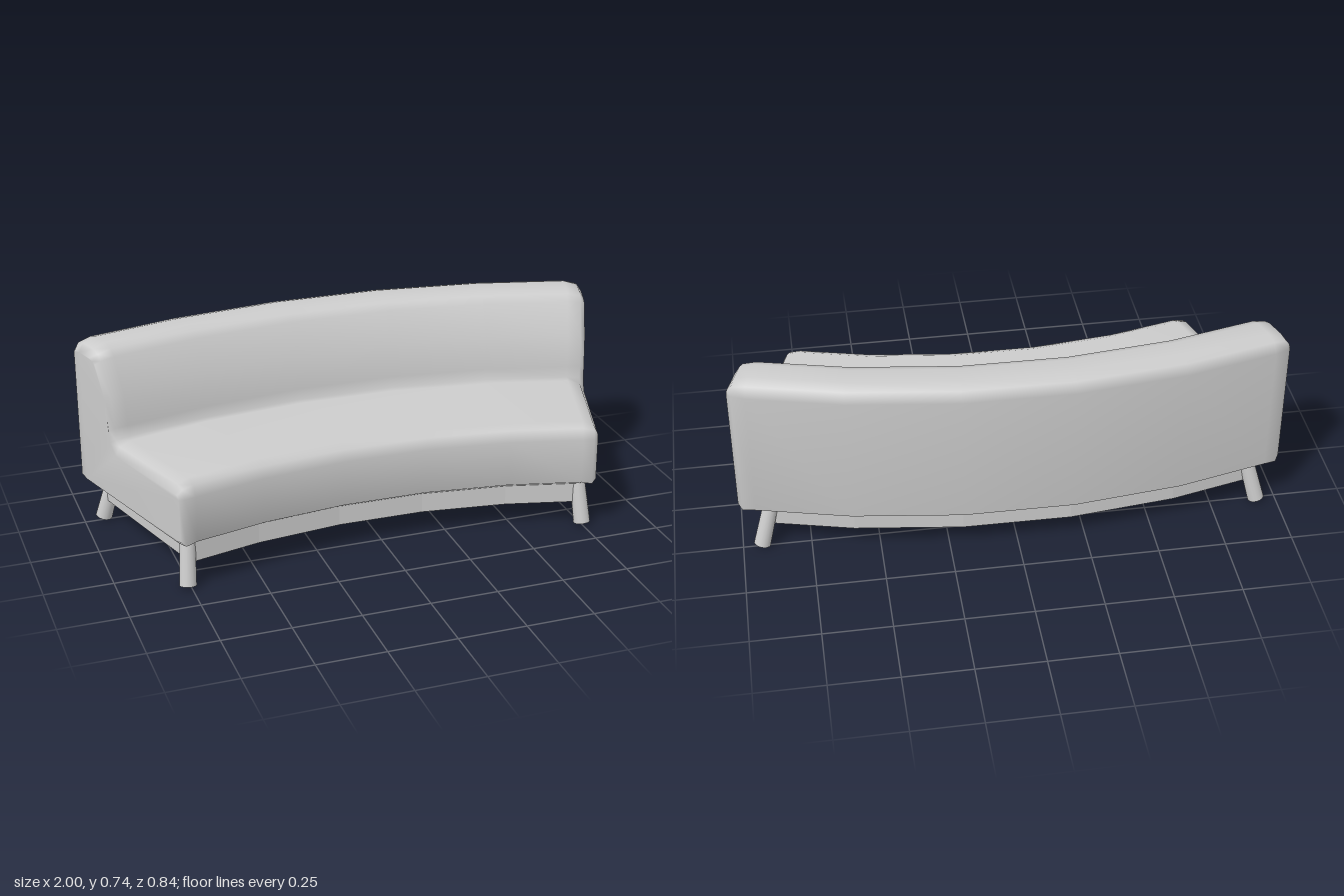
import * as THREE from 'three';

const ARC_Z = 2.78; // centre of the bench's curve
const STATIONS = [-17, -10.8, -3.6, 3.6, 10.8, 17];
const SKIRT_FRONT = 2.535, SKIRT_BACK = 3.15;

// Cross-section as [radius, height], from the front bottom rim over to the back one
const PROFILE = [
  [SKIRT_FRONT, 0.16], [2.482, 0.19], [2.482, 0.36], [2.497, 0.4], [2.53, 0.415],
  [2.925, 0.41], [2.943, 0.418], [2.945, 0.46], [2.962, 0.58], [3.02, 0.7],
  [3.04, 0.725], [3.075, 0.738], [3.15, 0.738], [3.192, 0.725], [3.208, 0.685],
  [3.208, 0.19], [SKIRT_BACK, 0.16],
];

// Point on the curve at an angle (degrees), radius and height
function polar(deg, r, y) {
  const a = THREE.MathUtils.degToRad(deg);
  return [r * Math.sin(a), y, ARC_Z - r * Math.cos(a)];
}

// Shrinks the cross-section to round off the ends
function inset(d, rimY) {
  const n = PROFILE.length;
  return PROFILE.map(([r, y], i) => {
    if (i === 0 || i === n - 1) return [r, rimY];
    const p = PROFILE[i - 1], q = PROFILE[i + 1];
    const tr = q[0] - p[0], ty = q[1] - p[1], len = Math.hypot(tr, ty);
    const r2 = r + (d * 0.45 * ty) / len, y2 = y - (d * tr) / len;
    return [r2, y < 0.2 ? rimY + 0.008 : y2];
  });
}

// Upholstered shell, open underneath, with rounded closed ends
function shellGeometry() {
  const mid = inset(0.014, 0.172), cap = inset(0.045, 0.188);
  const rings = [
    [-18.3, cap], [-17.95, mid],
    ...STATIONS.map((a) => [a, PROFILE]),
    [17.95, mid], [18.3, cap],
  ];
  const n = PROFILE.length, last = rings.length - 1;
  const pos = [], idx = [];
  for (const [a, ring] of rings) for (const [r, y] of ring) pos.push(...polar(a, r, y));
  for (let i = 0; i < last; i++) {
    const isEnd = i < 2 || i >= last - 2; // end bands also wrap underneath
    for (let j = 0; j < (isEnd ? n : n - 1); j++) {
      const k = (j + 1) % n;
      const a = i * n + j, b = a + n, c = i * n + k, d = c + n;
      idx.push(a, b, c, b, d, c);
    }
  }
  // End faces
  const outline = cap.map(([r, y]) => new THREE.Vector2(r, y));
  for (const tri of THREE.ShapeUtils.triangulateShape(outline, [])) {
    let [a, b, c] = tri;
    if (THREE.ShapeUtils.area([outline[a], outline[b], outline[c]]) < 0) [b, c] = [c, b];
    idx.push(last * n + a, last * n + b, last * n + c, a, c, b);
  }
  const g = new THREE.BufferGeometry();
  g.setAttribute('position', new THREE.Float32BufferAttribute(pos, 3));
  g.setIndex(idx);
  g.computeVertexNormals();
  return g;
}

// Thin wall hanging from the shell's lower rim
function skirtGeometry() {
  const path = [
    ...STATIONS.map((a) => [a, SKIRT_FRONT]),
    ...STATIONS.slice().reverse().map((a) => [a, SKIRT_BACK]),
  ];
  const pos = [];
  path.forEach(([a, r], i) => {
    const [a2, r2] = path[(i + 1) % path.length];
    const p = polar(a, r, 0.085), q = polar(a2, r2, 0.085);
    const s = polar(a2, r2, 0.16), t = polar(a, r, 0.16);
    pos.push(...p, ...q, ...s, ...p, ...s, ...t);
  });
  const g = new THREE.BufferGeometry();
  g.setAttribute('position', new THREE.Float32BufferAttribute(pos, 3));
  g.computeVertexNormals();
  return g;
}

// Round leg between two points
function leg(name, top, bottom, material) {
  const a = new THREE.Vector3(...top), b = new THREE.Vector3(...bottom);
  const axis = a.clone().sub(b);
  const mesh = new THREE.Mesh(new THREE.CylinderGeometry(0.028, 0.031, axis.length(), 16), material);
  mesh.position.copy(a).add(b).multiplyScalar(0.5);
  mesh.quaternion.setFromUnitVectors(new THREE.Vector3(0, 1, 0), axis.normalize());
  mesh.name = name;
  return mesh;
}

export function createModel() {
  const group = new THREE.Group();
  group.name = 'curvedBench';
  const fabric = new THREE.MeshStandardMaterial({ color: 0xcccccc, side: THREE.DoubleSide });
  const solid = new THREE.MeshStandardMaterial({ color: 0xcccccc });

  const body = new THREE.Group();
  body.name = 'bench';
  body.rotation.y = -0.008;
  group.add(body);

  const shell = new THREE.Mesh(shellGeometry(), fabric);
  shell.name = 'seatAndBackrest';
  const skirt = new THREE.Mesh(skirtGeometry(), fabric);
  skirt.name = 'skirt';
  body.add(shell, skirt);

  // Splayed legs at the four corners
  for (const s of [1, -1]) {
    const side = s > 0 ? 'Left' : 'Right';
    body.add(leg('front' + side + 'Leg', [s * 0.745, 0.168, 0.333], [s * 0.757, 0.003, 0.365], solid));
    body.add(leg('back' + side + 'Leg', [s * 0.885, 0.168, -0.235], [s * 0.928, 0.006, -0.256], solid));
  }
  return group;
}
